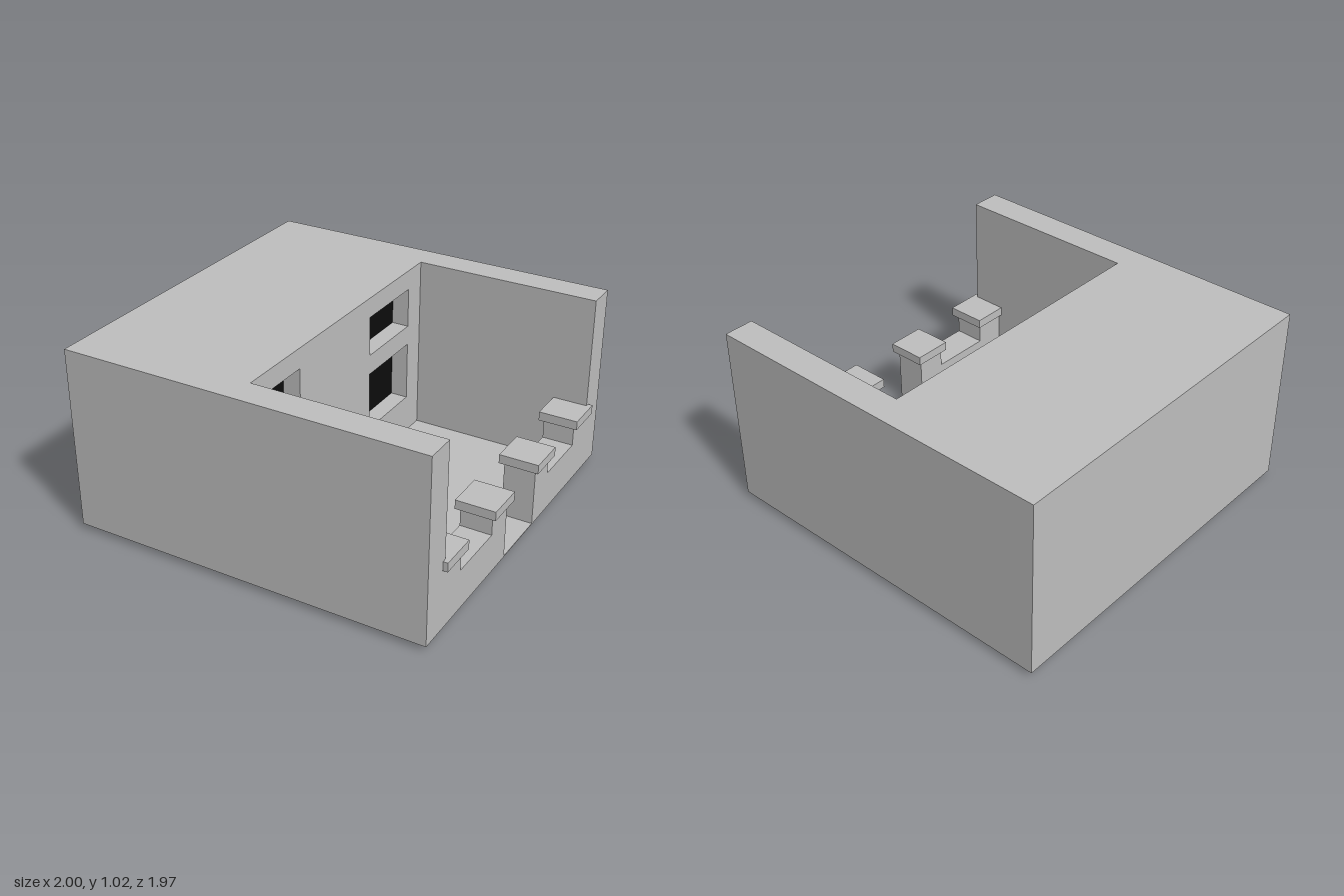
import * as THREE from 'three';

export function createModel() {
  const model = new THREE.Group();
  model.name = 'courtyardHouse';

  const plaster = new THREE.MeshStandardMaterial({ color: 0xbfbfbf });
  plaster.name = 'grey plaster';
  const dark = new THREE.MeshStandardMaterial({ color: 0x0c0c0c });
  dark.name = 'dark opening';

  const add = (name, geometry, material = plaster) => {
    const mesh = new THREE.Mesh(geometry, material);
    mesh.name = name;
    model.add(mesh);
    return mesh;
  };

  // box given by its minimum and maximum corners
  const box = (name, x0, x1, y0, y1, z0, z1, material) => {
    const g = new THREE.BoxGeometry(x1 - x0, y1 - y0, z1 - z0);
    g.translate((x0 + x1) / 2, (y0 + y1) / 2, (z0 + z1) / 2);
    return add(name, g, material);
  };

  // extrude a (-z, y) silhouette along x
  const slab = (name, shape, x0, x1) => {
    const g = new THREE.ExtrudeGeometry(shape, { depth: x1 - x0, bevelEnabled: false });
    g.rotateY(Math.PI / 2);
    g.translate(x0, 0, 0);
    return add(name, g);
  };
  const points = (list) => list.map(([u, y]) => new THREE.Vector2(u, y));

  const BASE = 0.03, TOP = 1.02;
  const FACADE = -0.04, RECESS = -0.14, FRONT = 0.975;
  const INNER = 0.825, OUTER = 0.987;

  // main block, side walls and courtyard floor
  box('houseBlock', -1, RECESS, BASE, TOP, -OUTER, OUTER);
  box('leftCourtWall', RECESS, FRONT, BASE, TOP, INNER, OUTER);
  box('rightCourtWall', RECESS, FRONT, BASE, TOP, -OUTER, -INNER);
  box('courtFloor', RECESS, FRONT, BASE, BASE + 0.005, -INNER, INNER);

  // facade with two doorways cut from the bottom edge and two window holes
  const facade = new THREE.Shape(points([
    [-INNER, BASE], [-0.69, BASE], [-0.69, 0.91], [-0.41, 0.91], [-0.41, BASE],
    [-0.14, BASE], [-0.14, 0.36], [0.14, 0.36], [0.14, BASE],
    [INNER, BASE], [INNER, TOP], [-INNER, TOP],
  ]));
  for (const [y0, y1] of [[0.25, 0.58], [0.69, 0.91]]) {
    facade.holes.push(new THREE.Path(points([[0.27, y0], [0.27, y1], [0.69, y1], [0.69, y0]])));
  }
  slab('facade', facade, RECESS, FACADE);

  // dark panels at the back of each opening
  const panel = (name, y0, y1, z0, z1) => box(name, RECESS, RECESS + 0.004, y0, y1, z0, z1, dark);
  panel('tallDoor', BASE + 0.005, 0.91, 0.41, 0.69);
  panel('lowDoor', BASE + 0.005, 0.36, -0.14, 0.14);
  panel('upperWindow', 0.69, 0.91, -0.69, -0.27);
  panel('lowerWindow', 0.25, 0.58, -0.69, -0.27);

  // garden wall, mirrored on both sides of the gate
  for (const s of [-1, 1]) {
    const side = s > 0 ? 'left' : 'right';
    const span = (name, x0, x1, y0, y1, a, b) =>
      box(side + name, x0, x1, y0, y1, Math.min(s * a, s * b), Math.max(s * a, s * b));

    // low wall rising to a pillar at each end
    const wall = new THREE.Shape(points([
      [0.167, BASE], [0.167, 0.35], [0.33, 0.35], [0.33, 0.25],
      [0.66, 0.25], [0.66, 0.36], [INNER, 0.36], [INNER, BASE],
    ].map(([z, y]) => [-s * z, y])));
    slab(side + 'GardenWall', wall, 0.805, FRONT);

    // pillar caps
    span('GateCap', 0.785, 1, 0.35, 0.4, 0.14, 0.352);
    span('EndCap', 0.785, 1, 0.36, 0.41, 0.635, 0.847);

    // footings just below the floor
    span('WallFooting', 0.803, 0.81, 0, BASE, 0.33, 0.66);
    span('PillarFooting', 0.803, 0.93, 0.018, BASE, 0.167, 0.33);
  }

  return model;
}
